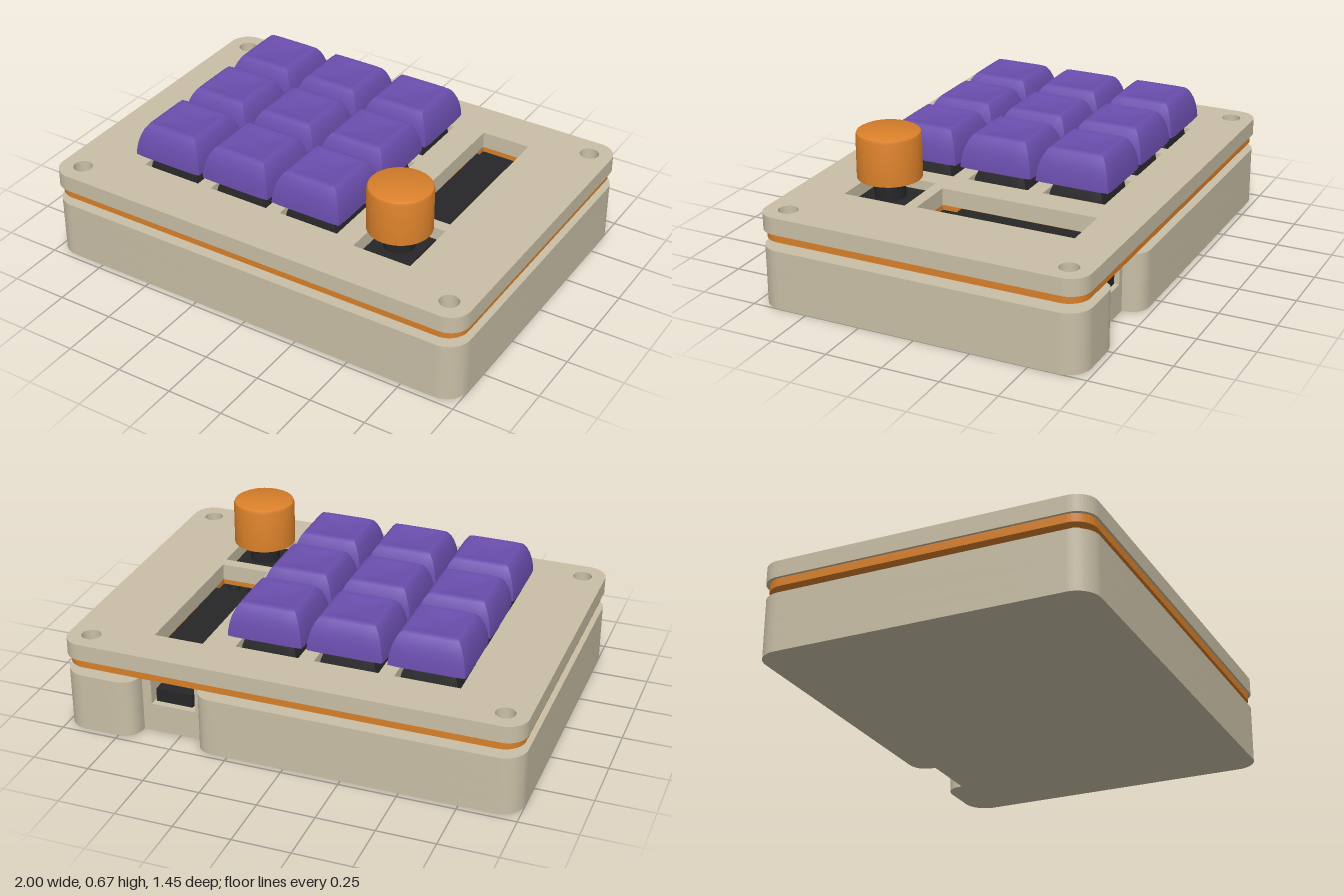
import * as THREE from 'three';
import { toCreasedNormals } from 'three/addons/utils/BufferGeometryUtils.js';

const material = (color) => new THREE.MeshStandardMaterial({ color });
const beige = material(0xc9bfa6), orange = material(0xd9802a), purple = material(0x6a4dac);
const green = material(0x235a45), black = material(0x262628);

const keyX = [-0.542, -0.195, 0.153];
const keyZ = [-0.367, -0.018, 0.332];
const knobX = 0.525, knobZ = 0.365;
const screen = { x: 0.54, z: -0.182, w: 0.22, d: 0.705 };

function add(parent, name, geometry, mat, x = 0, y = 0, z = 0) {
  const mesh = new THREE.Mesh(geometry, mat);
  mesh.name = name;
  mesh.position.set(x, y, z);
  parent.add(mesh);
  return mesh;
}

function box(parent, name, mat, [w, h, d], [x, y, z]) {
  return add(parent, name, new THREE.BoxGeometry(w, h, d), mat, x, y, z);
}

// Extrudes a plan shape (shape y = -z) upwards from y0 to y1
function slab(shape, y0, y1) {
  const g = new THREE.ExtrudeGeometry(shape, { depth: y1 - y0, bevelEnabled: false, curveSegments: 10 });
  g.rotateX(-Math.PI / 2).translate(0, y0, 0);
  return toCreasedNormals(g, 0.6);
}

// Rounded rectangle outline; extra draws a detour along the back edge
function outline(w, d, r, extra = () => {}) {
  const s = new THREE.Shape();
  s.moveTo(-w + r, -d);
  s.absarc(w - r, -d + r, r, -Math.PI / 2, 0);
  s.absarc(w - r, d - r, r, 0, Math.PI / 2);
  extra(s);
  s.absarc(-w + r, d - r, r, Math.PI / 2, Math.PI);
  s.absarc(-w + r, -d + r, r, Math.PI, Math.PI * 1.5);
  return s;
}

function rectHole(x, z, w, d) {
  const p = new THREE.Path();
  p.moveTo(x - w / 2, -z - d / 2);
  p.lineTo(x - w / 2, -z + d / 2);
  p.lineTo(x + w / 2, -z + d / 2);
  p.lineTo(x + w / 2, -z - d / 2);
  p.closePath();
  return p;
}

// Plate with key, screen, knob and screw openings
function plate(w, d, keyHole, y0, y1) {
  const s = outline(w, d, 0.09);
  for (const x of keyX) for (const z of keyZ) s.holes.push(rectHole(x, z, keyHole, keyHole));
  s.holes.push(rectHole(screen.x, screen.z, screen.w, screen.d));
  s.holes.push(rectHole(knobX, knobZ, 0.265, 0.285));
  for (const x of [-0.9, 0.9]) for (const z of [-0.625, 0.625]) {
    s.holes.push(new THREE.Path().absarc(x, z, 0.042, 0, Math.PI * 2, true));
  }
  return slab(s, y0, y1);
}

// Case layer with the cable recess, optionally open from recess into the cavity
function caseLayer(open) {
  return outline(1, 0.725, 0.1, (s) => {
    s.lineTo(0.76, 0.725);
    s.quadraticCurveTo(0.67, 0.725, 0.67, 0.635);
    if (open) {
      const path = [[0.63, 0.635], [0.63, 0.53], [0.8, 0.53], [0.8, -0.53], [-0.8, -0.53],
        [-0.8, 0.53], [0.43, 0.53], [0.43, 0.635]];
      for (const [x, y] of path) s.lineTo(x, y);
    }
    s.lineTo(0.4, 0.635);
    s.quadraticCurveTo(0.4, 0.725, 0.31, 0.725);
  });
}

// Skin over square rings given as [half width, height]; dish lowers ring centres
function squareLoft(rings, n = 8) {
  const pos = [], index = [], count = n * 4;
  for (const [h, y] of rings) {
    for (let i = 0; i < count; i++) {
      const side = Math.floor(i / n), t = (i % n) / n * 2 - 1;
      const [x, z] = [[t, 1], [1, -t], [-t, -1], [-1, t]][side];
      // corners are drawn in a little
      const k = h * (1 - 0.025 * t ** 8);
      pos.push(x * k, y, z * k);
    }
  }
  for (let r = 0; r < rings.length - 1; r++) for (let i = 0; i < count; i++) {
    const j = (i + 1) % count, a = r * count, b = a + count;
    index.push(a + i, a + j, b + j, a + i, b + j, b + i);
  }
  const g = new THREE.BufferGeometry();
  g.setAttribute('position', new THREE.Float32BufferAttribute(pos, 3));
  g.setIndex(index);
  return toCreasedNormals(g, 0.55);
}

function lathe(points) {
  const g = new THREE.LatheGeometry(points.map(([r, y]) => new THREE.Vector2(r, y)), 48);
  return toCreasedNormals(g, 0.6);
}

export function createModel() {
  const model = new THREE.Group();

  // Hollow case
  const lower = caseLayer(false);
  lower.holes.push(rectHole(0, 0, 1.6, 1.06));
  const body = new THREE.Group();
  body.name = 'case';
  add(body, 'caseFloor', slab(caseLayer(false), 0, 0.05), beige);
  add(body, 'caseLowerWall', slab(lower, 0.05, 0.13), beige);
  add(body, 'caseUpperWall', slab(caseLayer(true), 0.13, 0.26), beige);
  model.add(body);

  // Circuit board, controller and cable socket
  box(model, 'circuitBoard', green, [1.65, 0.017, 1.1], [0, 0.267, 0]);
  box(model, 'controllerBoard', black, [0.32, 0.025, 0.42], [0.53, 0.2, -0.32]);
  box(model, 'cableSocket', black, [0.165, 0.06, 0.14], [0.53, 0.17, -0.55]);

  // Stacked plates
  add(model, 'switchPlate', plate(0.988, 0.715, 0.256, 0.295, 0.331), orange);
  add(model, 'topPlate', plate(1, 0.725, 0.28, 0.331, 0.405), beige);

  // Switches and sculpted keycaps
  const capShape = squareLoft([[0, 0.555], [0.12, 0.555], [0.155, 0.465], [0.167, 0.465], [0.165, 0.49],
    [0.16, 0.522], [0.151, 0.555], [0.139, 0.583], [0.126, 0.602], [0.116, 0.609],
    [0.108, 0.61], [0.085, 0.604], [0.055, 0.6], [0.025, 0.598], [0, 0.598]]);
  const switchShape = squareLoft([[0, 0.28], [0.115, 0.28], [0.127, 0.3], [0.127, 0.331], [0.138, 0.331],
    [0.138, 0.348], [0.13, 0.355], [0.12, 0.41], [0.096, 0.475], [0, 0.475]]);
  for (const z of keyZ) for (const x of keyX) {
    const key = new THREE.Group();
    key.name = 'key';
    key.position.set(x, 0, z);
    add(key, 'switchHousing', switchShape, black);
    box(key, 'switchStem', black, [0.08, 0.09, 0.08], [0, 0.515, 0]);
    add(key, 'keycap', capShape, purple);
    box(key, 'diode', black, [0.012, 0.022, 0.09], [0.177, 0.284, -0.03]);
    model.add(key);
  }

  // Screen module with four header pins
  const display = new THREE.Group();
  display.name = 'display';
  box(display, 'displayBoard', black, [0.216, 0.02, 0.7], [screen.x, 0.3, screen.z]);
  box(display, 'displayGlass', black, [0.216, 0.022, 0.55], [screen.x, 0.32, -0.195]);
  for (let i = 0; i < 4; i++) {
    const x = screen.x + (i - 1.5) * 0.0463;
    box(display, 'headerPin', black, [0.014, 0.05, 0.014], [x, 0.3, 0.135]);
  }
  model.add(display);

  // Rotary encoder and knob
  const encoder = new THREE.Group();
  encoder.name = 'encoder';
  encoder.position.set(knobX, 0, knobZ);
  box(encoder, 'encoderBody', black, [0.215, 0.1, 0.22], [0, 0.325, 0]);
  add(encoder, 'encoderCollar', lathe([[0, 0.37], [0.066, 0.37], [0.066, 0.435], [0.058, 0.443],
    [0.045, 0.443], [0.045, 0.455], [0.055, 0.455], [0.055, 0.47], [0, 0.47]]), black);
  add(encoder, 'knob', lathe([[0, 0.465], [0.137, 0.465], [0.137, 0.65], [0.133, 0.662],
    [0.122, 0.668], [0, 0.668]]), orange);
  model.add(encoder);

  return model;
}
